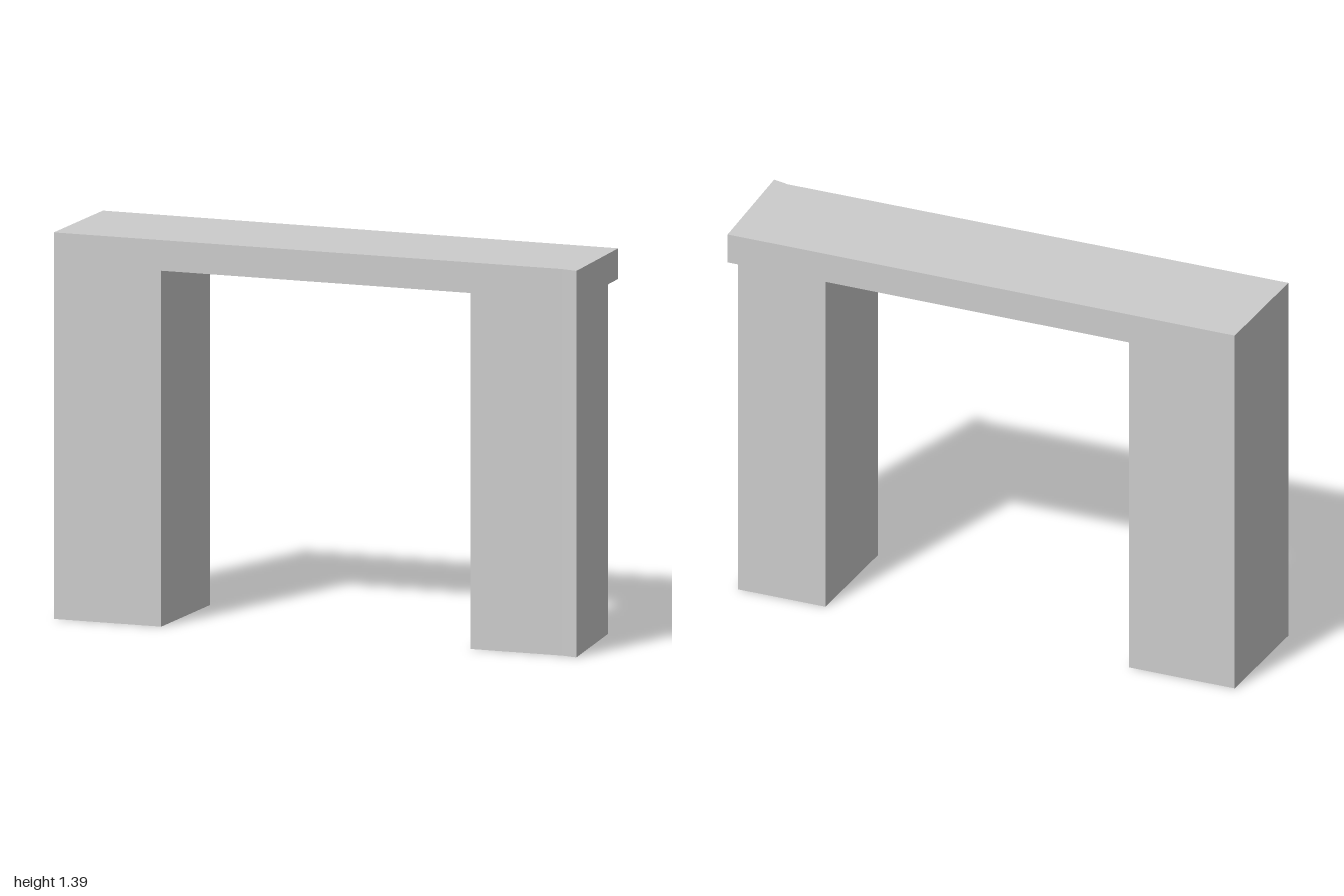
import * as THREE from 'three';

const HEIGHT = 1.39;      // top of the beam
const LEG_HEIGHT = 1.28;  // underside of the beam
const INNER = 0.59;       // half the width of the opening

// Back face drifts slightly forward towards +x
const backZ = (x) => -0.24 + 0.01 * (x + 1) / 1.97;

// Raise a plan outline of [x, z] corners from y0 to y1
function prism(name, plan, y0, y1, material) {
  const shape = new THREE.Shape(plan.map(([x, z]) => new THREE.Vector2(x, -z)));
  const geometry = new THREE.ExtrudeGeometry(shape, { depth: y1 - y0, bevelEnabled: false });
  geometry.rotateX(-Math.PI / 2);
  geometry.translate(0, y0, 0);
  const mesh = new THREE.Mesh(geometry, material);
  mesh.name = name;
  return mesh;
}

export function createModel() {
  const group = new THREE.Group();
  group.name = 'archway';
  const material = new THREE.MeshStandardMaterial({ color: 0xcccccc, flatShading: true });

  const flaredCorner = [[0.94, 0.225], [1, 0.24]]; // front corner at +x

  // Beam across the top, with a slanted +x end
  group.add(prism('beam', [
    [-1, 0.225], ...flaredCorner, [0.97, backZ(0.97)], [-1, backZ(-1)],
  ], LEG_HEIGHT, HEIGHT, material));

  // Plain leg at -x
  group.add(prism('rightLeg', [
    [-1, 0.225], [-INNER, 0.225], [-INNER, backZ(-INNER)], [-1, backZ(-1)],
  ], 0, LEG_HEIGHT, material));

  // Leg at +x, tapering in under the beam towards the back
  group.add(prism('leftLeg', [
    [INNER, 0.225], ...flaredCorner, [0.93, backZ(0.93)], [INNER, backZ(INNER)],
  ], 0, LEG_HEIGHT, material));

  return group;
}
